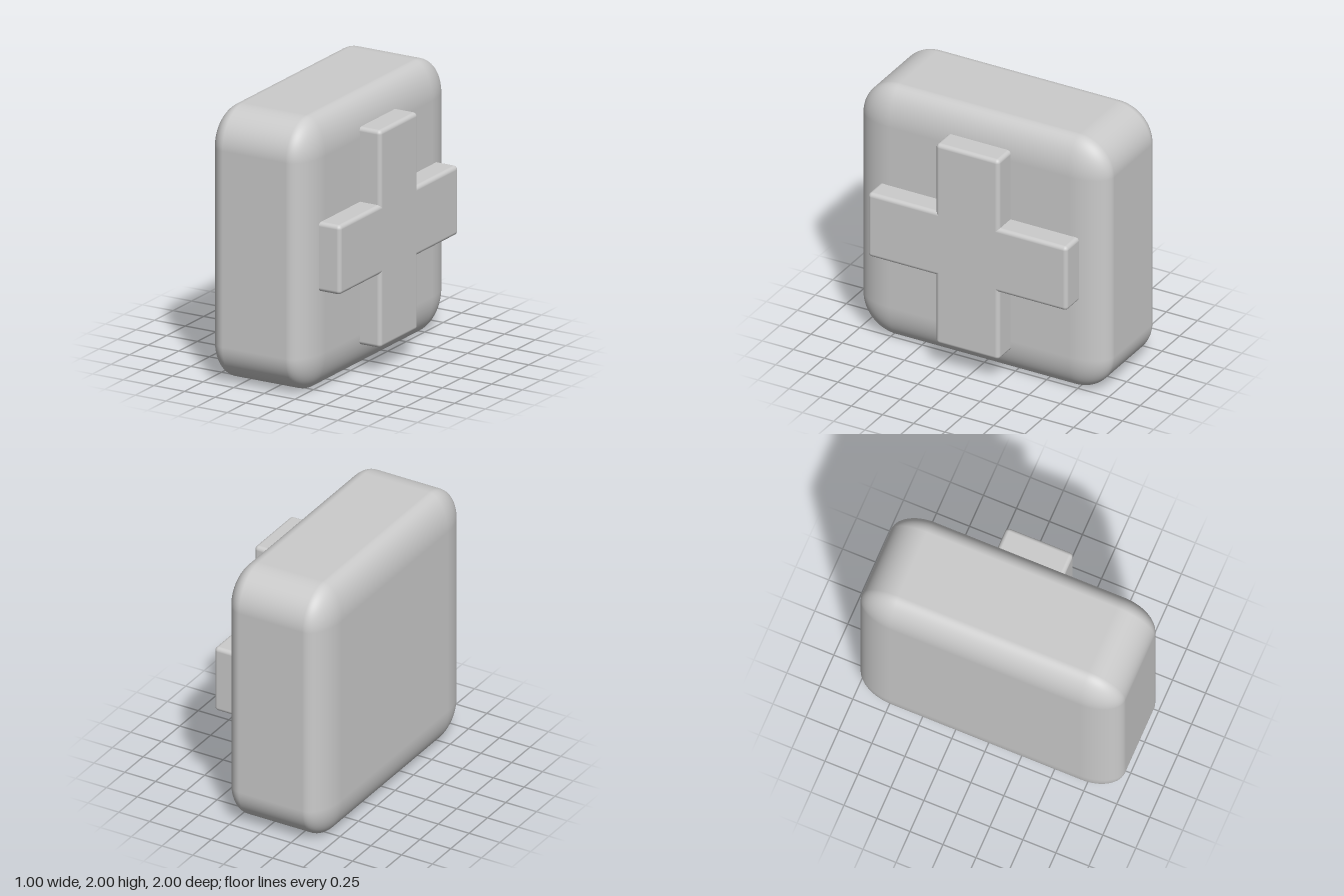
import * as THREE from 'three';
import { RoundedBoxGeometry } from 'three/addons/geometries/RoundedBoxGeometry.js';

const material = new THREE.MeshStandardMaterial({ color: 0xcccccc });

// Rounded block spanning x0..x1, centred on y = 1 and z = 0.
// squash flattens the edge rounding along x.
function block(name, x0, x1, height, depth, radius, segments, squash = 1) {
  const geometry = new RoundedBoxGeometry((x1 - x0) / squash, height, depth, segments, radius);
  geometry.scale(squash, 1, 1);
  const mesh = new THREE.Mesh(geometry, material);
  mesh.name = name;
  mesh.position.set((x0 + x1) / 2, 1, 0);
  return mesh;
}

export function createModel() {
  const model = new THREE.Group();
  model.name = 'medicalPack';

  // Main case with large soft edges
  model.add(block('caseBody', -0.498, 0.33, 2, 2, 0.28, 10, 0.56));

  // Raised cross on the +x face, sunk into the case
  const cross = new THREE.Group();
  cross.name = 'cross';
  cross.add(
    block('crossUpright', 0.2, 0.497, 1.6, 0.51, 0.03, 4),
    block('crossBar', 0.2, 0.497, 0.51, 1.6, 0.03, 4)
  );
  model.add(cross);

  return model;
}
